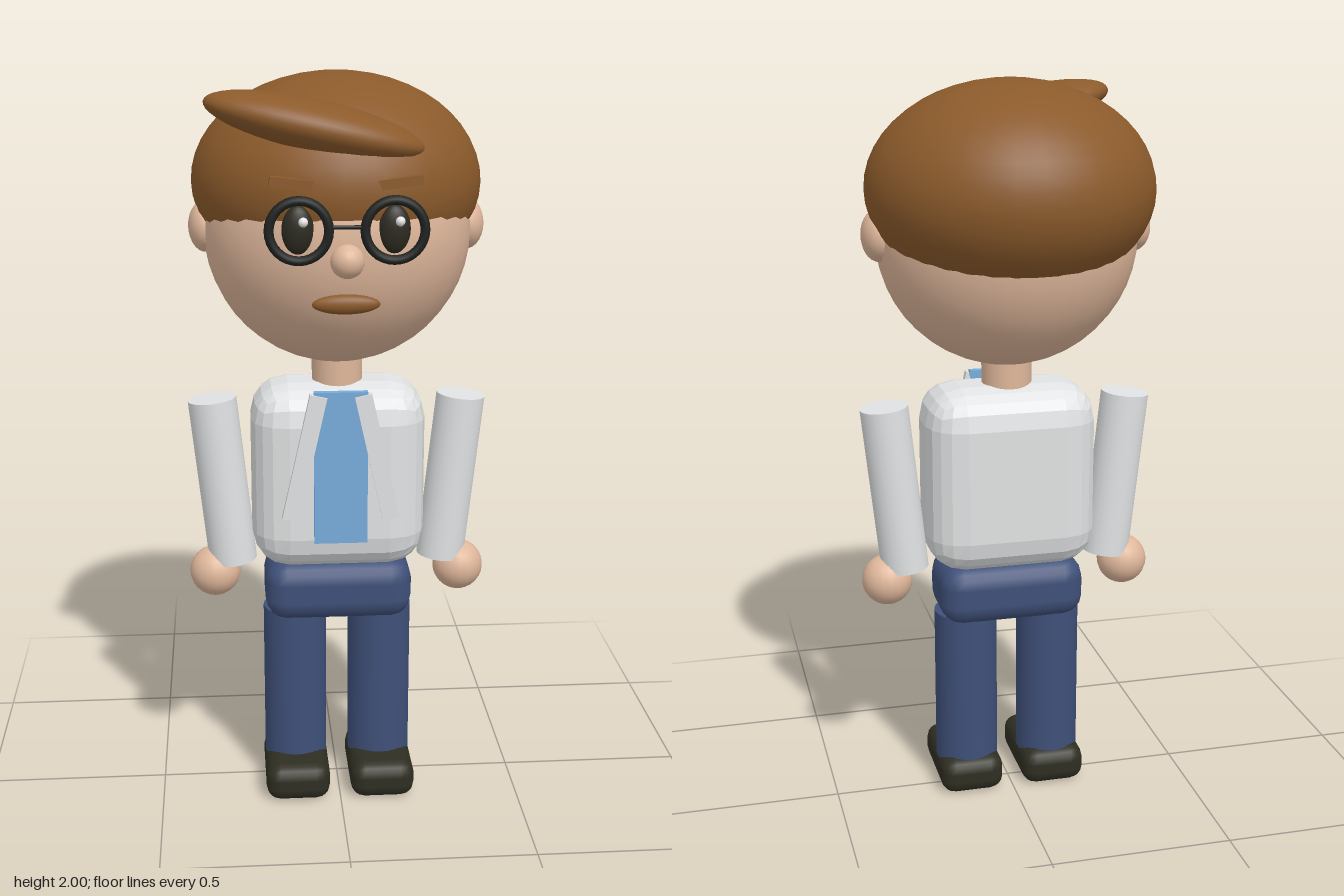
import * as THREE from 'three';
import { RoundedBoxGeometry } from 'three/addons/geometries/RoundedBoxGeometry.js';

const mat = (name, color, flatShading = false) => {
  const m = new THREE.MeshStandardMaterial({ color, flatShading });
  m.name = name;
  return m;
};

export function createModel() {
  const skin = mat('skin', 0xdfb79b);
  const hair = mat('hairBrown', 0x8b5a2b);
  const shirt = mat('shirtWhite', 0xe0e2e3, true);
  const sleeve = mat('sleeveWhite', 0xe0e2e3);
  const blue = mat('tieBlue', 0x78acdc);
  const denim = mat('trouserBlue', 0x3f5079);
  const leather = mat('shoeBlack', 0x2e2e22);
  const frame = mat('frameBlack', 0x1e221f);
  const iris = mat('eyeDark', 0x2c2a20);
  const white = mat('glintWhite', 0xffffff);

  const model = new THREE.Group();
  model.name = 'man';

  const add = (name, geometry, material, x, y, z, rotZ = 0) => {
    const mesh = new THREE.Mesh(geometry, material);
    mesh.name = name;
    mesh.position.set(x, y, z);
    mesh.rotation.z = rotZ;
    model.add(mesh);
    return mesh;
  };
  const ellipsoid = (rx, ry, rz, w = 32, h = 24) => new THREE.SphereGeometry(1, w, h).scale(rx, ry, rz);
  const rounded = (w, h, d, r) => new RoundedBoxGeometry(w, h, d, 2, r);
  const tube = (r, h) => new THREE.CylinderGeometry(r, r, h, 24);

  // Head and hair
  add('head', ellipsoid(0.35, 0.352, 0.333), skin, 0, 1.598, 0.013);
  add('hair', ellipsoid(0.38, 0.28, 0.376), hair, 0, 1.72, -0.03);
  add('quiff', ellipsoid(0.278, 0.063, 0.122), hair, -0.07, 1.886, 0.236, -0.22);
  add('nose', ellipsoid(0.042, 0.042, 0.042, 20, 14), skin, 0, 1.573, 0.363);
  add('mouth', ellipsoid(0.085, 0.025, 0.02, 20, 14), hair, 0, 1.46, 0.328);
  add('neck', tube(0.068, 0.15), skin, 0, 1.22, 0.012);

  // Torso, tie and hips
  add('torso', rounded(0.47, 0.515, 0.285, 0.1), shirt, 0, 0.933, 0.012);
  add('tie', new THREE.BoxGeometry(0.143, 0.42, 0.02), blue, 0, 0.98, 0.155);
  add('hips', rounded(0.405, 0.17, 0.235, 0.06), denim, 0, 0.605, 0.012);

  // Glasses bridge
  add('glassesBridge', tube(0.005, 0.075), frame, 0, 1.655, 0.355, Math.PI / 2);

  // Paired parts
  for (const s of [-1, 1]) {
    const side = s > 0 ? 'left' : 'right';
    add(side + 'Ear', ellipsoid(0.045, 0.068, 0.068, 20, 14), skin, s * 0.345, 1.605, -0.003);
    add(side + 'Eye', ellipsoid(0.04, 0.06, 0.024, 20, 14), iris, s * 0.118, 1.645, 0.325);
    add(side + 'EyeGlint', ellipsoid(0.012, 0.012, 0.012, 12, 8), white, s * 0.118 + 0.012, 1.667, 0.349);
    add(side + 'GlassesRim', new THREE.TorusGeometry(0.073, 0.012, 10, 32), frame, s * 0.117, 1.647, 0.355);
    add(side + 'Eyebrow', new THREE.BoxGeometry(0.11, 0.024, 0.025), hair, s * 0.132, 1.757, 0.321, s * 0.12);
    add(side + 'Lapel', new THREE.BoxGeometry(0.046, 0.35, 0.02), shirt, s * 0.097, 1.01, 0.16, s * 0.22);
    add(side + 'Arm', tube(0.066, 0.467), sleeve, s * 0.314, 0.908, 0.012, -s * 0.105);
    add(side + 'Hand', ellipsoid(0.07, 0.07, 0.07, 20, 14), skin, s * 0.34, 0.643, 0.014);
    add(side + 'Leg', tube(0.088, 0.45), denim, s * 0.119, 0.31, 0.012);
    add(side + 'Shoe', rounded(0.18, 0.105, 0.285, 0.04), leather, s * 0.119, 0.0525, 0.047);
  }
  return model;
}
